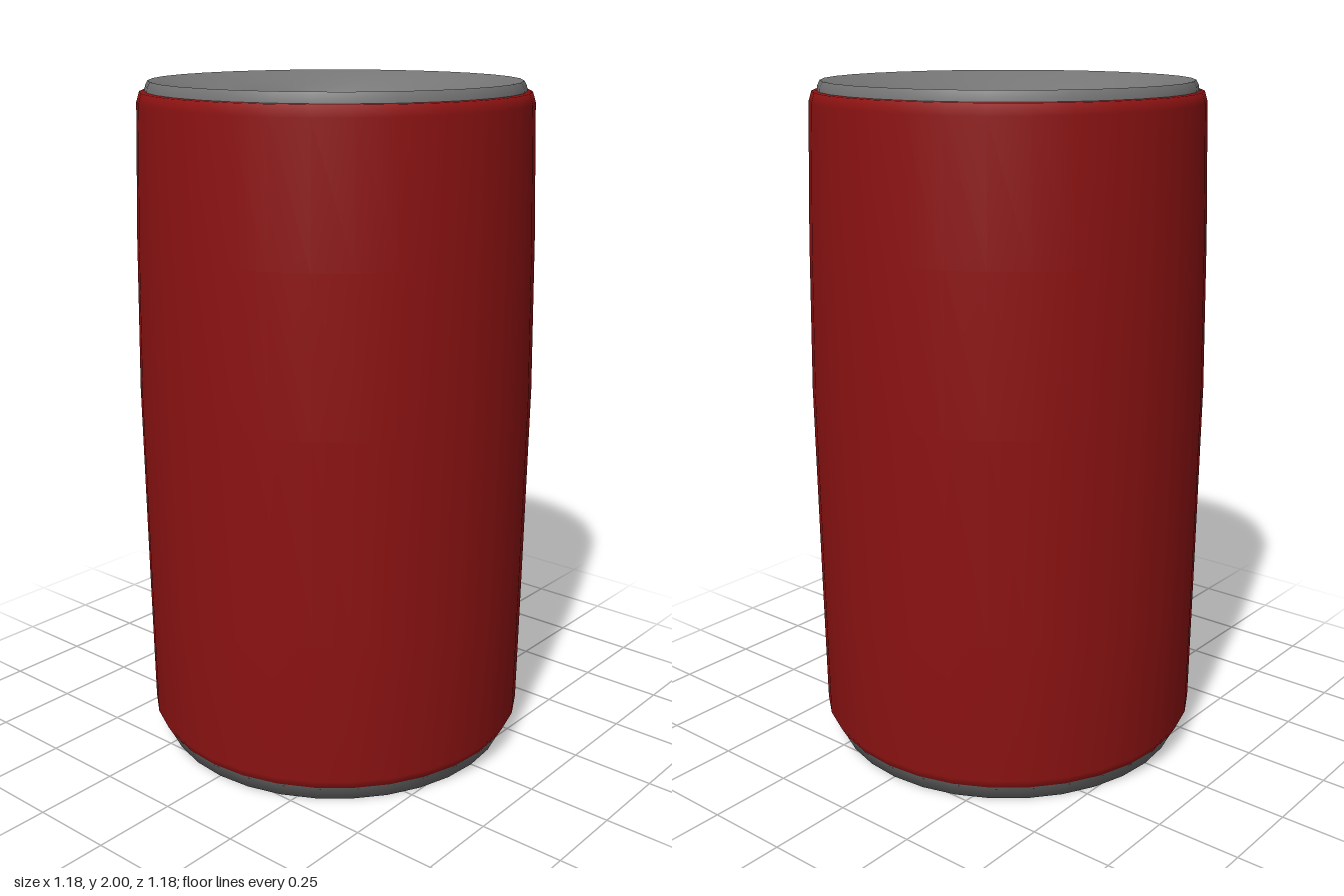
import * as THREE from 'three';

const SIDES = 32;

// Turned part from [radius, height] pairs, listed from bottom to top
function turned(name, profile, material) {
  const points = profile.map(([r, y]) => new THREE.Vector2(r, y));
  const mesh = new THREE.Mesh(new THREE.LatheGeometry(points, SIDES), material);
  mesh.name = name;
  return mesh;
}

// Skin over rings; each ring is a function of the angle, listed from outside inwards
function loft(name, rings, material) {
  const positions = [], index = [];
  rings.forEach((ring, r) => {
    for (let i = 0; i < SIDES; i++) {
      positions.push(...ring((i / SIDES) * Math.PI * 2).toArray());
      if (r === rings.length - 1) continue;
      const a = r * SIDES + i, b = r * SIDES + ((i + 1) % SIDES);
      index.push(a, b, b + SIDES, a, b + SIDES, a + SIDES);
    }
  });
  const geometry = new THREE.BufferGeometry();
  geometry.setAttribute('position', new THREE.Float32BufferAttribute(positions, 3));
  geometry.setIndex(index);
  geometry.computeVertexNormals();
  const mesh = new THREE.Mesh(geometry, material);
  mesh.name = name;
  return mesh;
}

export function createModel() {
  const red = new THREE.MeshStandardMaterial({ color: 0x8c1212 });
  red.name = 'deep red';
  const grey = new THREE.MeshStandardMaterial({ color: 0x757575 });
  grey.name = 'grey';
  const black = new THREE.MeshStandardMaterial({ color: 0x141414, side: THREE.DoubleSide });
  black.name = 'near black';

  const model = new THREE.Group();
  model.name = 'canister';

  // Slightly bulging body with a narrow shoulder
  model.add(turned('body', [
    [0.56, 0.05], [0.577, 0.08], [0.582, 0.5], [0.588, 1.1],
    [0.58, 1.55], [0.567, 1.94], [0.558, 1.97], [0.535, 1.972],
  ], red));

  // Chamfered base and top rim
  model.add(turned('base', [[0, 0], [0.535, 0], [0.56, 0.05]], grey));
  model.add(turned('rim', [[0.543, 1.965], [0.541, 1.985], [0.533, 2]], grey));

  // Round opening near the back, tilted to face forward
  const opening = (a, scale = 1, depth = 0) => new THREE.Vector3(
    0.187 * scale * Math.sin(a),
    1.79 - 0.16 * scale * Math.cos(a) - 0.5 * depth,
    -0.295 + 0.095 * scale * Math.cos(a) - 0.866 * depth,
  );

  // Sloping lid from the rim down to the opening
  const lidRings = [0, 0.04, 0.12, 0.3, 0.55, 0.8, 1].map((t) => (a) => {
    const hole = opening(a);
    return new THREE.Vector3(
      THREE.MathUtils.lerp(0.533 * Math.sin(a), hole.x, t),
      THREE.MathUtils.lerp(2, hole.y, Math.pow(t, 1.2)),
      THREE.MathUtils.lerp(0.533 * Math.cos(a), hole.z, t),
    );
  });
  model.add(loft('lid', lidRings, grey));

  // Short closed passage behind the opening
  model.add(loft('openingPassage', [
    (a) => opening(a),
    (a) => opening(a, 1, 0.08),
    (a) => opening(a, 0, 0.08),
  ], black));

  return model;
}
